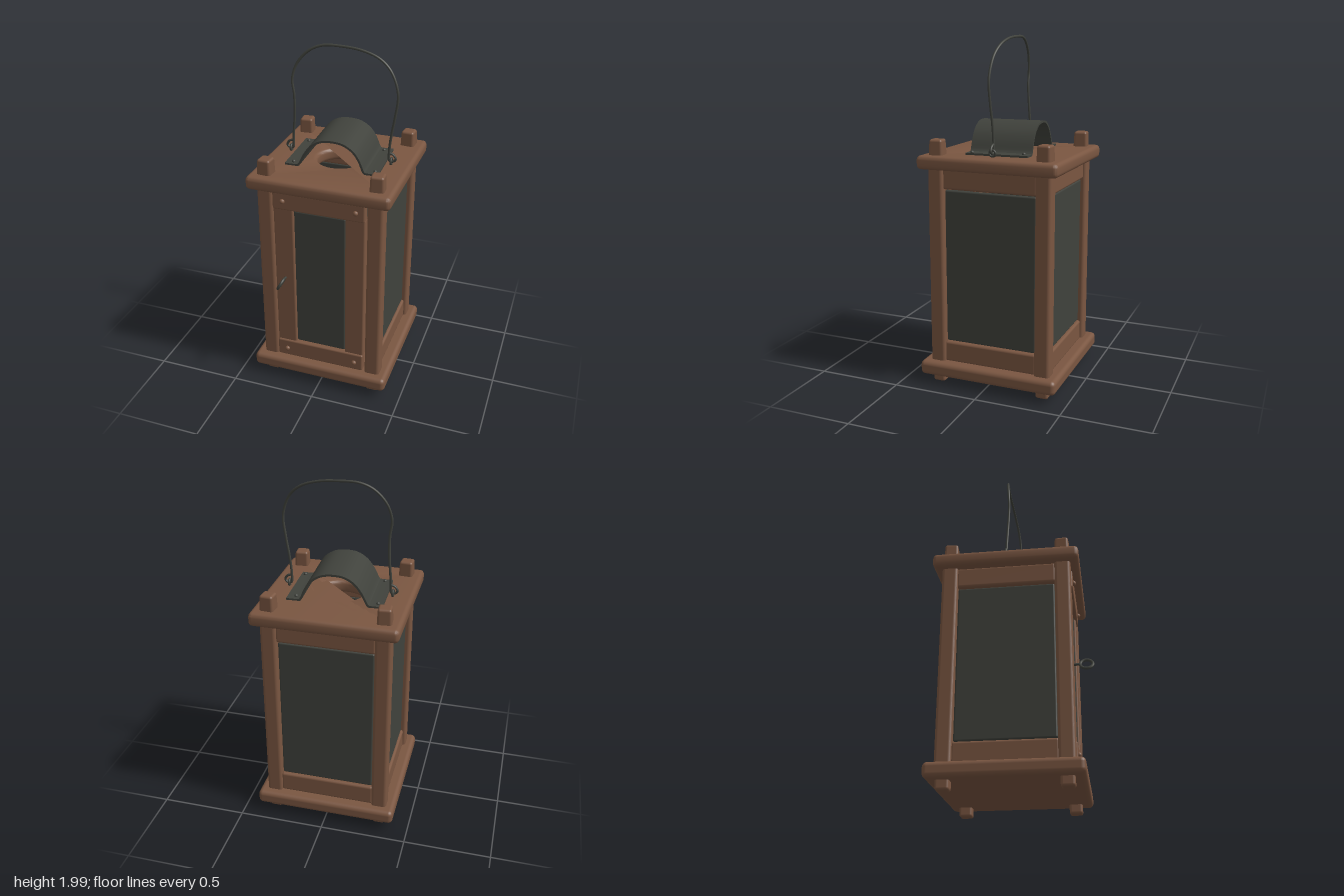
import * as THREE from 'three';
import { toCreasedNormals } from 'three/addons/utils/BufferGeometryUtils.js';
import { RoundedBoxGeometry } from 'three/addons/geometries/RoundedBoxGeometry.js';

const wood = new THREE.MeshStandardMaterial({ color: 0x7a5641 });
wood.name = 'brown wood';
const dark = new THREE.MeshStandardMaterial({ color: 0x40423c });
dark.name = 'dark iron and glass';

const CZ = -0.025; // centre of the body in z

function add(parent, name, geometry, material, x = 0, y = 0, z = 0) {
  const mesh = new THREE.Mesh(geometry, material);
  mesh.name = name;
  mesh.position.set(x, y, z);
  parent.add(mesh);
  return mesh;
}

// Rounded block given by its limits
function block(parent, name, material, [x0, x1], [y0, y1], [z0, z1], r = 0.01) {
  const g = new RoundedBoxGeometry(x1 - x0, y1 - y0, z1 - z0, 3, r);
  return add(parent, name, g, material, (x0 + x1) / 2, (y0 + y1) / 2, (z0 + z1) / 2);
}

function wire(parent, name, points, radius, segments) {
  const curve = new THREE.CatmullRomCurve3(points.map(p => new THREE.Vector3(...p)));
  return add(parent, name, new THREE.TubeGeometry(curve, segments, radius, 8), dark);
}

// Lid with rounded edges and a round smoke hole
function lidGeometry() {
  const h = 0.412, r = 0.03, b = 0.024;
  const s = new THREE.Shape();
  s.moveTo(-h + r, -h);
  s.lineTo(h - r, -h).quadraticCurveTo(h, -h, h, -h + r);
  s.lineTo(h, h - r).quadraticCurveTo(h, h, h - r, h);
  s.lineTo(-h + r, h).quadraticCurveTo(-h, h, -h, h - r);
  s.lineTo(-h, -h + r).quadraticCurveTo(-h, -h, -h + r, -h);
  s.holes.push(new THREE.Path().absarc(0, 0, 0.13, 0, Math.PI * 2, true));
  const g = new THREE.ExtrudeGeometry(s, {
    depth: 0.077 - 2 * b, bevelSize: b, bevelThickness: b, bevelOffset: -b, bevelSegments: 4, curveSegments: 16,
  });
  g.translate(0, 0, b).rotateX(-Math.PI / 2);
  return toCreasedNormals(g, 0.7);
}

// Sheet bent to an arch with flat flanges, extruded along z
function hoodGeometry() {
  const line = [[-0.27, 1.356], [-0.205, 1.356], [-0.185, 1.366], [-0.155, 1.425], [-0.115, 1.478], [-0.06, 1.512],
    [0.005, 1.52], [0.07, 1.51], [0.125, 1.475], [0.16, 1.425], [0.185, 1.366], [0.205, 1.356], [0.268, 1.356]]
    .map(p => new THREE.Vector2(...p));
  const curve = new THREE.SplineCurve(line);
  const outer = [], inner = [];
  for (let i = 0; i <= 48; i++) {
    const p = curve.getPoint(i / 48), t = curve.getTangent(i / 48);
    const n = new THREE.Vector2(-t.y, t.x).multiplyScalar(0.006);
    outer.push(p.clone().add(n));
    inner.unshift(p.clone().sub(n));
  }
  const g = new THREE.ExtrudeGeometry(new THREE.Shape([...outer, ...inner]), { depth: 0.364, bevelEnabled: false });
  g.translate(0, 0, -0.182);
  return toCreasedNormals(g, 0.6);
}

// Glazed wall between two posts, facing +z before it is turned
function wall(parent, name, angle) {
  const g = new THREE.Group();
  g.name = name;
  g.position.z = CZ;
  g.rotation.y = angle;
  block(g, 'topRail', wood, [-0.28, 0.28], [1.16, 1.28], [0.29, 0.348], 0.014);
  block(g, 'bottomRail', wood, [-0.28, 0.28], [0.14, 0.262], [0.29, 0.348], 0.014);
  block(g, 'pane', dark, [-0.272, 0.272], [0.265, 1.155], [0.31, 0.335], 0.01);
  parent.add(g);
}

export function createModel() {
  const lantern = new THREE.Group();
  lantern.name = 'lantern';

  // Base and lid
  block(lantern, 'basePlate', wood, [-0.413, 0.413], [0.062, 0.145], [CZ - 0.413, CZ + 0.413], 0.026);
  add(lantern, 'lidPlate', lidGeometry(), wood, 0, 1.274, CZ);

  // Corner posts with their foot and top pegs
  for (const x of [-0.32, 0.32]) {
    for (const z of [CZ - 0.318, CZ + 0.318]) {
      block(lantern, 'post', wood, [x - 0.045, x + 0.045], [0.12, 1.3], [z - 0.045, z + 0.045], 0.018);
      block(lantern, 'foot', wood, [x - 0.037, x + 0.037], [0.01, 0.12], [z - 0.037, z + 0.037], 0.014);
      const peg = new RoundedBoxGeometry(0.08, 0.14, 0.08, 3, 0.014);
      const p = peg.attributes.position;
      for (let i = 0; i < p.count; i++) {
        const k = 1 - 0.9 * (p.getY(i) + 0.07); // narrows upwards
        p.setX(i, p.getX(i) * k);
        p.setZ(i, p.getZ(i) * k);
      }
      p.needsUpdate = true;
      peg.scale(1.06, 1, 1.06);
      add(lantern, 'topPeg', peg, wood, x, 1.368, z).rotation.y = x * z * 0.8;
    }
  }

  // Side and back walls
  wall(lantern, 'leftWall', Math.PI / 2);
  wall(lantern, 'rightWall', -Math.PI / 2);
  wall(lantern, 'backWall', Math.PI);

  // Front door
  const door = new THREE.Group();
  door.name = 'door';
  lantern.add(door);
  block(door, 'doorTopRail', wood, [-0.271, 0.265], [1.16, 1.268], [0.285, 0.343]);
  block(door, 'doorBottomRail', wood, [-0.271, 0.265], [0.152, 0.263], [0.285, 0.343]);
  block(door, 'doorStile', wood, [-0.271, -0.153], [0.25, 1.17], [0.28, 0.333]);
  block(door, 'doorStile', wood, [0.15, 0.265], [0.25, 1.17], [0.28, 0.333]);
  block(door, 'doorPane', dark, [-0.153, 0.15], [0.264, 1.155], [0.3, 0.322]);
  for (const x of [-0.21, 0.213]) {
    for (const y of [0.205, 1.215]) {
      add(door, 'doorNail', new THREE.SphereGeometry(0.015, 12, 8), wood, x, y, 0.345);
    }
  }

  // Ring pull on the door, tilted a little
  const pull = new THREE.Group();
  pull.name = 'ringPull';
  pull.position.set(-0.21, 0.712, 0.402);
  pull.rotation.z = -0.5;
  door.add(pull);
  add(pull, 'ring', new THREE.TorusGeometry(0.035, 0.008, 8, 28), dark).rotation.y = Math.PI / 2;
  add(pull, 'ringStem', new THREE.CylinderGeometry(0.007, 0.007, 0.05, 8), dark, 0, 0, -0.058).rotation.x = Math.PI / 2;

  // Smoke hood
  const hood = add(lantern, 'smokeHood', hoodGeometry(), dark, 0, 0, -0.027);
  hood.rotation.y = 0.035;
  for (const [x, z] of [[-0.245, -0.165], [0.215, -0.18], [-0.222, 0.133], [0.25, 0.115]]) {
    add(lantern, 'hoodNail', new THREE.SphereGeometry(0.011, 12, 8), dark, x, 1.363, z);
  }

  // Bail handle, with an eye and a hooked end on each side
  wire(lantern, 'handle', [[-0.287, 1.38, -0.03], [-0.285, 1.45, -0.03], [-0.273, 1.58, -0.025], [-0.271, 1.7, -0.02],
    [-0.28, 1.79, -0.02], [-0.252, 1.88, -0.028], [-0.185, 1.955, -0.038], [-0.11, 1.988, -0.046], [0, 1.992, -0.05],
    [0.12, 1.98, -0.047], [0.22, 1.945, -0.04], [0.285, 1.885, -0.03], [0.327, 1.77, -0.022], [0.315, 1.64, -0.024],
    [0.298, 1.54, -0.028], [0.287, 1.45, -0.03], [0.285, 1.38, -0.03]], 0.0075, 120);
  for (const s of [-1, 1]) {
    const eye = add(lantern, 'handleEye', new THREE.TorusGeometry(0.017, 0.007, 8, 20), dark, s * 0.3, 1.372, -0.03);
    eye.rotation.y = Math.PI / 2;
    wire(lantern, 'handleHook', [[s * 0.286, 1.385, -0.03], [s * 0.29, 1.372, -0.03], [s * 0.31, 1.37, -0.03],
      [s * 0.325, 1.385, -0.03], [s * 0.312, 1.41, -0.03], [s * 0.287, 1.42, -0.03]], 0.007, 24);
  }
  return lantern;
}
